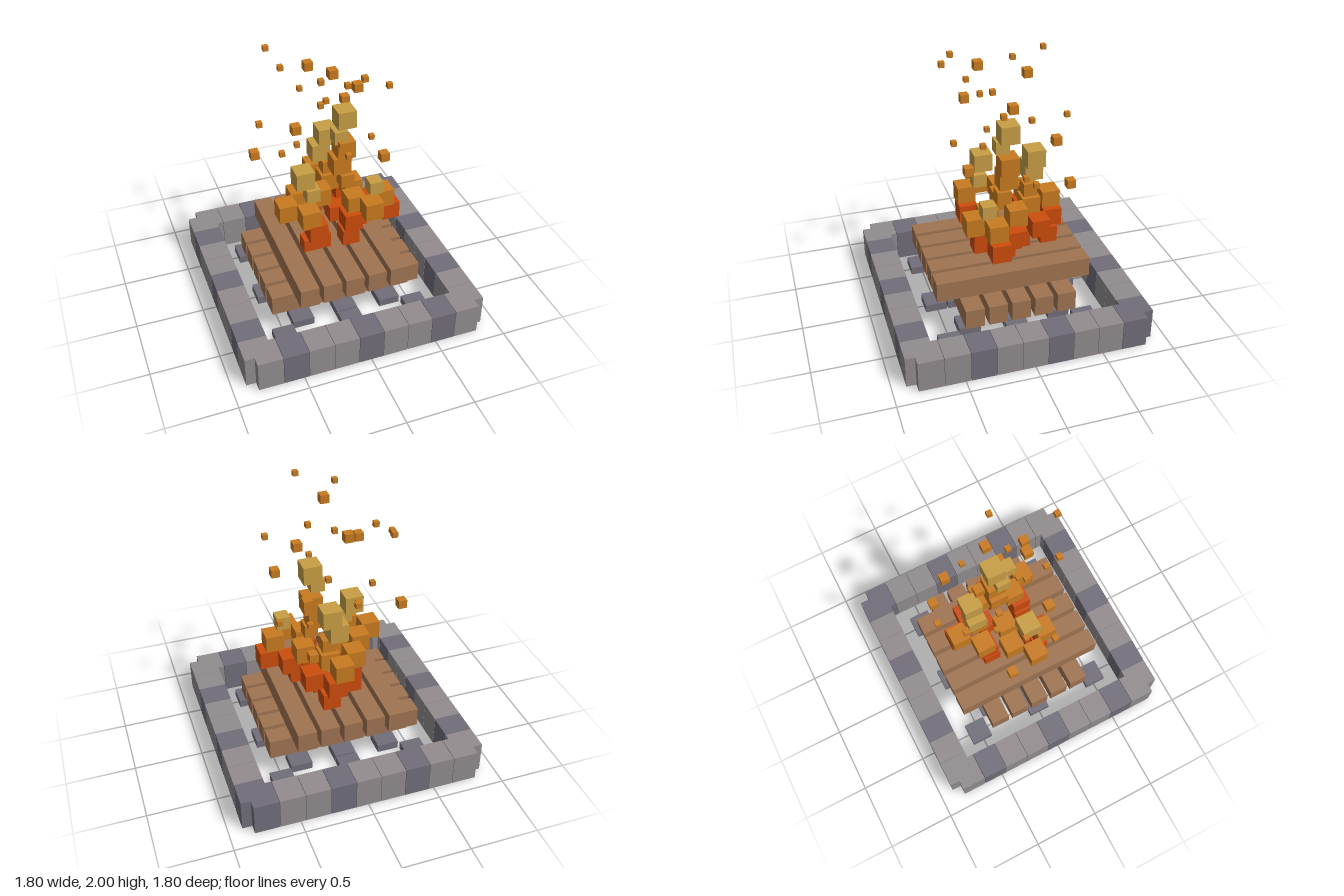
import * as THREE from 'three';

const material = (name, color) => {
  const m = new THREE.MeshStandardMaterial({ color });
  m.name = name;
  return m;
};

export function createModel() {
  const model = new THREE.Group();
  model.name = 'campfire';

  const stone = material('stone grey', 0x928c8e);
  const darkStone = material('dark stone', 0x716e7a);
  const wood = material('wood brown', 0xa07452);
  const red = material('flame red', 0xcd4c0d);
  const orange = material('flame orange', 0xc97b20);
  const yellow = material('flame yellow', 0xc89e45);

  const group = (name) => {
    const g = new THREE.Group();
    g.name = name;
    model.add(g);
    return g;
  };
  const box = (parent, name, mat, size, pos) => {
    const mesh = new THREE.Mesh(new THREE.BoxGeometry(...size), mat);
    mesh.name = name;
    mesh.position.set(...pos);
    parent.add(mesh);
  };

  // Square ring of stones, every third one dark
  const ring = group('stoneRing');
  const pitch = 0.1845, h = 0.237, depth = 0.205, edge = 0.797;
  for (let i = 0; i < 9; i++) {
    const t = (i - 4) * pitch;
    const shade = (first) => (i % 3 === first ? darkStone : stone);
    box(ring, 'frontStone', shade(1), [0.181, h, depth], [t, h / 2, edge]);
    box(ring, 'backStone', shade(2), [0.181, h, depth], [t, h / 2, -edge]);
    box(ring, 'rightStone', shade(1), [depth, h, 0.181], [-edge, h / 2, t]);
    box(ring, 'leftStone', shade(0), [depth, h, 0.181], [edge, h / 2, t]);
  }

  // Low hearth stones: a centre one and two square rings of eight
  const hearth = group('hearthStones');
  box(hearth, 'hearthStone', darkStone, [0.16, 0.06, 0.16], [0, 0.03, 0]);
  for (const r of [0.34, 0.51])
    for (const i of [-1, 0, 1])
      for (const j of [-1, 0, 1])
        if (i || j) box(hearth, 'hearthStone', darkStone, [0.16, 0.06, 0.16], [i * r, 0.03, j * r]);

  // Two crossed layers of squared logs
  const logs = group('logs');
  for (let i = -2; i <= 2; i++) {
    box(logs, 'lowerLog', wood, [1.145, 0.15, 0.138], [0, 0.252, i * 0.17]);
    box(logs, 'upperLog', wood, [0.138, 0.15, 1.145], [i * 0.17, 0.402, 0]);
  }

  const cubes = (groupName, name, mat, list) => {
    const g = group(groupName);
    for (const [x, y, z, s] of list) box(g, name, mat, [s, s, s], [x, y, z]);
  };

  // Red base of the flames
  const B = 0.135, S = 0.1;
  cubes('flameBase', 'redFlame', red, [
    [-0.11, 0.573, -0.2, 0.128], [0.1, 0.573, -0.34, 0.128], [0.107, 0.573, -0.13, 0.128],
    [0.1, 0.573, 0.165, 0.128], [-0.115, 0.573, 0.14, 0.128],
    [-0.21, 0.573, 0.17, S], [0.245, 0.573, 0.01, S], [-0.01, 0.573, -0.225, 0.07],
    [0.068, 0.698, -0.378, B], [0.198, 0.698, -0.245, B], [0.295, 0.698, 0, B],
    [0.428, 0.698, 0.12, B], [0.12, 0.698, 0.165, B], [-0.16, 0.698, 0.2, B], [-0.1, 0.698, -0.215, B],
  ]);

  // Orange middle
  cubes('flameMiddle', 'orangeFlame', orange, [
    [0.02, 0.823, -0.378, B], [-0.115, 0.823, -0.245, B], [-0.213, 0.823, -0.065, B],
    [-0.342, 0.823, 0.067, B], [-0.213, 0.823, 0.198, B], [-0.05, 0.823, -0.035, B],
    [0.153, 0.823, 0.128, B], [0.243, 0.823, 0.252, B], [0.378, 0.823, 0.125, B],
    [0.207, 0.823, -0.07, B], [0.07, 0.823, -0.21, B],
    [0.133, 0.95, 0.01, S], [0.07, 0.95, -0.207, S],
    [0.1, 1.073, -0.03, B], [0.133, 1.197, -0.03, B],
  ]);

  // Yellow tips
  cubes('flameTips', 'yellowFlame', yellow, [
    [-0.16, 0.95, 0.105, S], [0.295, 0.95, 0.165, S],
    [-0.211, 1.073, 0.068, B], [0.015, 1.073, -0.246, B], [0.066, 1.197, -0.246, B],
    [0.084, 1.325, 0.005, S], [0.135, 1.447, -0.03, B],
  ]);

  // Floating embers
  const L = 0.063, T = 0.038;
  cubes('embers', 'ember', orange, [
    [0.095, 1.981, 0.415, T], [-0.155, 1.942, 0.295, T], [-0.02, 1.902, 0.14, L],
    [-0.305, 1.865, -0.43, T], [-0.275, 1.825, -0.19, T], [-0.065, 1.785, -0.23, L],
    [0.115, 1.75, 0.075, T], [0.415, 1.705, 0.09, T], [0.23, 1.665, -0.033, L],
    [-0.09, 1.655, 0.105, T], [-0.517, 1.588, 0.09, T], [-0.29, 1.548, 0.168, L],
    [0.07, 1.48, -0.225, T], [-0.03, 1.442, -0.525, T], [0.257, 1.4, -0.34, L],
    [0.028, 1.362, 0.33, T], [0.056, 1.322, 0.127, T], [0.3, 1.284, 0.3, L],
    [-0.335, 1.25, -0.015, T], [-0.177, 1.203, -0.16, T], [-0.485, 1.164, -0.2, L],
    [0.398, 1.153, -0.15, T], [0.178, 1.085, -0.152, T], [0.258, 1.045, -0.455, L],
  ]);

  return model;
}
